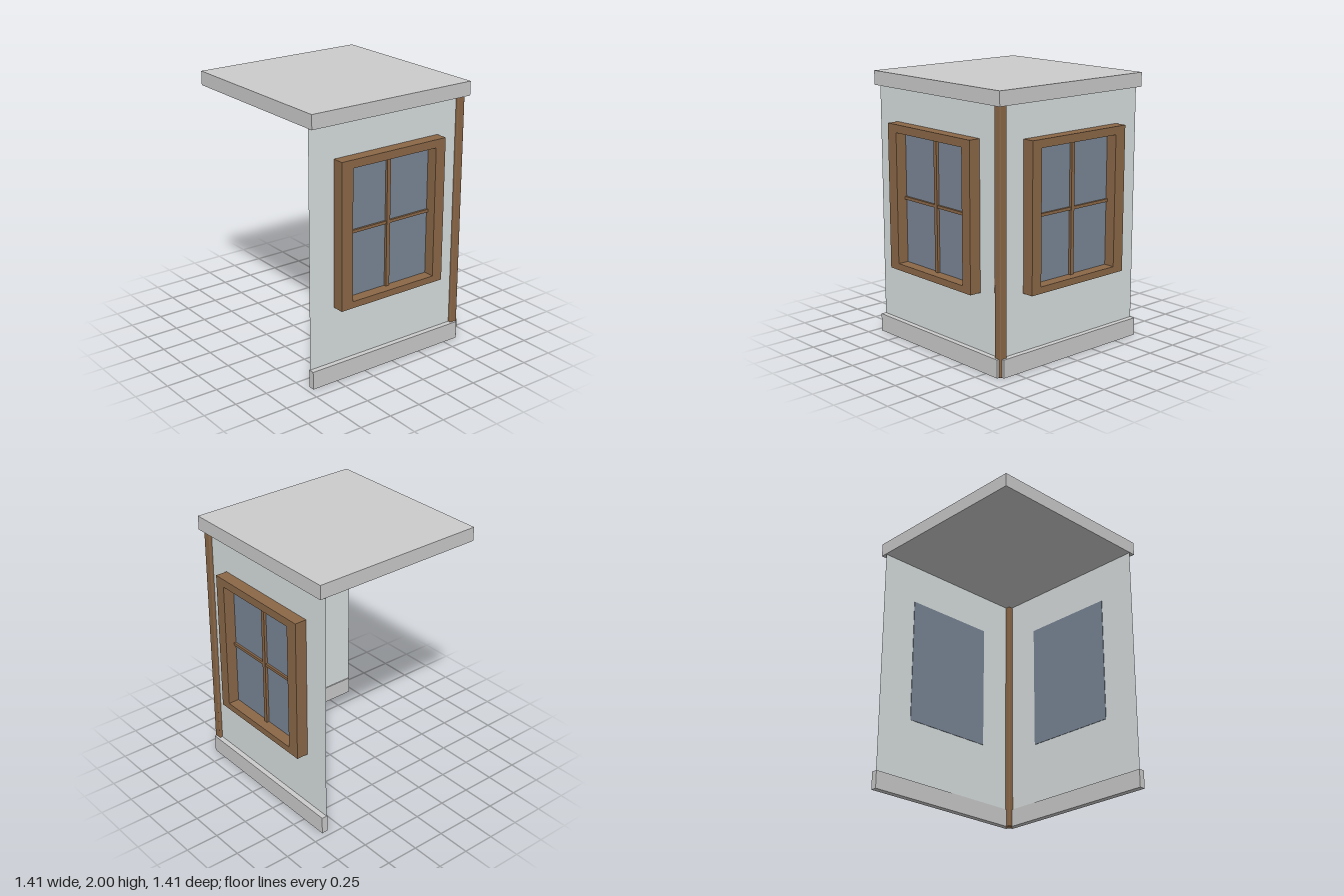
import * as THREE from 'three';
import { RoundedBoxGeometry } from 'three/addons/geometries/RoundedBoxGeometry.js';

const grey = new THREE.MeshStandardMaterial({ color: 0xcccccc });
const plaster = new THREE.MeshStandardMaterial({ color: 0xd9dfdf, side: THREE.DoubleSide });
const wood = new THREE.MeshStandardMaterial({ color: 0x8b6848 });
const glass = new THREE.MeshStandardMaterial({ color: 0x7a8696 });

const WALL = 0.613; // distance of both wall planes from the centre

function add(parent, name, geometry, material) {
  const mesh = new THREE.Mesh(geometry, material);
  mesh.name = name;
  parent.add(mesh);
  return mesh;
}

// Box given by its lower and upper corners
function box(parent, name, material, [x0, y0, z0], [x1, y1, z1]) {
  const mesh = add(parent, name, new THREE.BoxGeometry(x1 - x0, y1 - y0, z1 - z0), material);
  mesh.position.set((x0 + x1) / 2, (y0 + y1) / 2, (z0 + z1) / 2);
  return mesh;
}

// Add a rectangular outline to a shape or path
function rect(path, x0, y0, x1, y1) {
  path.moveTo(x0, y0);
  path.lineTo(x1, y0);
  path.lineTo(x1, y1);
  path.lineTo(x0, y1);
  path.closePath();
  return path;
}

function createWindow() {
  const win = new THREE.Group();
  win.name = 'window';

  // Deep casing with the opening cut out
  const outline = rect(new THREE.Shape(), -0.5, 0.56, 0.405, 1.645);
  outline.holes.push(rect(new THREE.Path(), -0.405, 0.61, 0.32, 1.585));
  const casing = new THREE.ExtrudeGeometry(outline, { depth: 0.09, bevelEnabled: false });
  add(win, 'windowFrame', casing, wood).position.z = WALL + 0.002;

  // Pane and glazing bars
  box(win, 'pane', glass, [-0.41, 0.605, WALL - 0.004], [0.325, 1.59, WALL + 0.007]);
  box(win, 'verticalBar', wood, [-0.06, 0.61, WALL], [-0.03, 1.585, 0.64]);
  box(win, 'horizontalBar', wood, [-0.405, 1.085, WALL], [0.32, 1.107, 0.636]);
  return win;
}

function createWallSide() {
  const side = new THREE.Group();

  // Thin wall, open behind the pane
  const shape = rect(new THREE.Shape(), -0.705, 0, WALL, 1.9);
  shape.holes.push(rect(new THREE.Path(), -0.405, 0.61, 0.32, 1.585));
  add(side, 'wall', new THREE.ShapeGeometry(shape), plaster).position.z = WALL;

  // Skirting along the foot, stopping short of the corner
  box(side, 'baseboard', grey, [-0.708, 0, 0.605], [0.62, 0.135, 0.653]);
  side.add(createWindow());
  return side;
}

export function createModel() {
  const model = new THREE.Group();
  model.name = 'cornerBuilding';

  const front = createWallSide();
  front.name = 'frontWall';

  // Second wall mirrored about the corner diagonal
  const left = createWallSide();
  left.name = 'leftWall';
  left.scale.x = -1;
  left.rotation.y = Math.PI / 2;
  model.add(front, left);

  // Corner post with softened edges
  const post = add(model, 'cornerPost', new RoundedBoxGeometry(0.062, 1.895, 0.062, 2, 0.008), wood);
  post.position.set(0.605, 0.9475, 0.605);

  // Flat roof slab
  box(model, 'roof', grey, [-0.71, 1.895, -0.71], [0.662, 2, 0.662]);
  return model;
}
